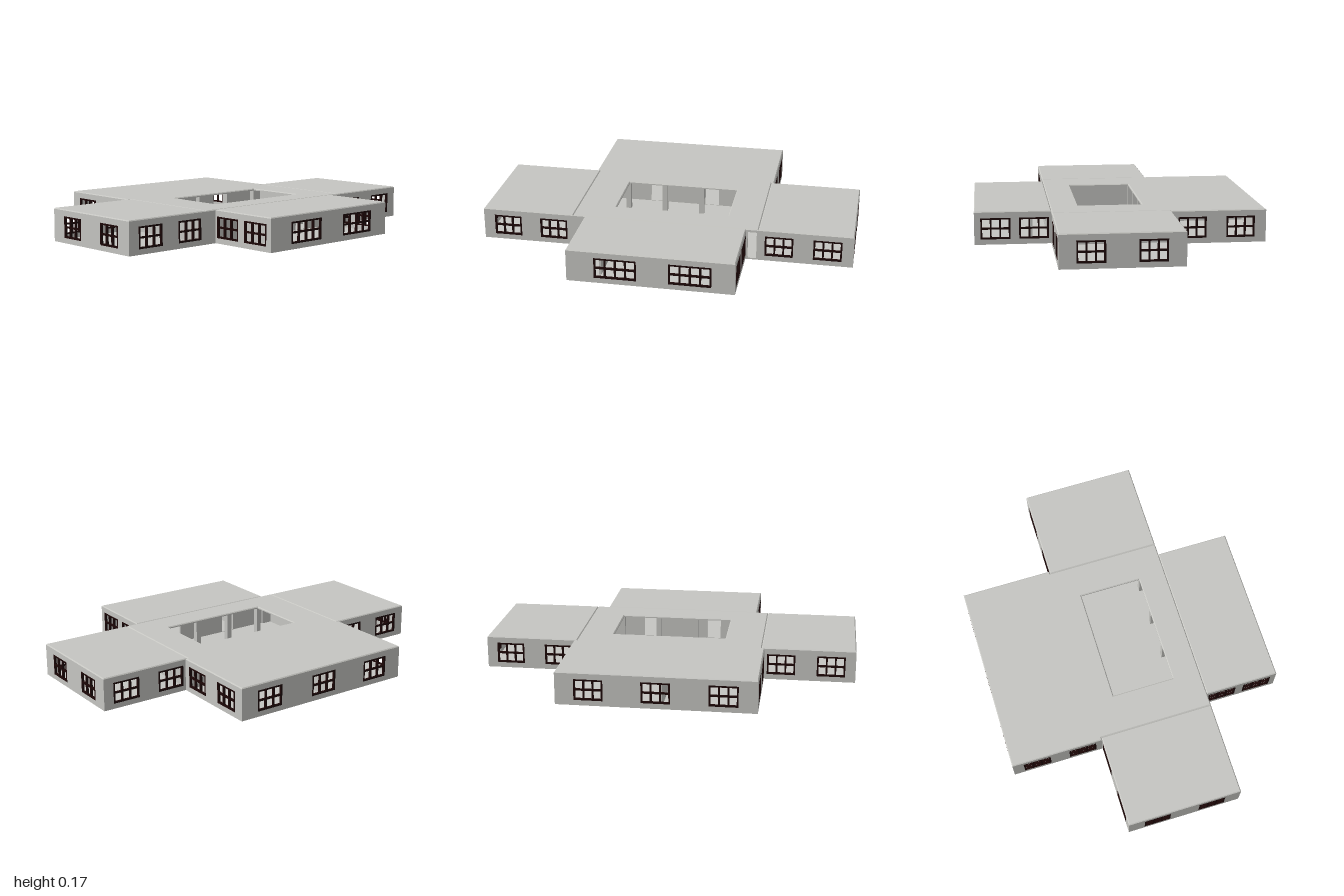
import * as THREE from 'three';

const concrete = new THREE.MeshStandardMaterial({ color: 0xc6c6c2 });
concrete.name = 'concrete';
const frameDark = new THREE.MeshStandardMaterial({ color: 0x1c0606 });
frameDark.name = 'dark window frame';

const WALL_TOP = 0.168, THICK = 0.012;
const SILL = 0.028, HEAD = 0.14;

function box(name, w, h, d, x, y, z, mat) {
  const mesh = new THREE.Mesh(new THREE.BoxGeometry(w, h, d), mat);
  mesh.position.set(x, y, z);
  mesh.name = name;
  return mesh;
}

function rectPath(x0, x1, y0, y1, Type = THREE.Path) {
  return new Type([[x0, y0], [x1, y0], [x1, y1], [x0, y1]].map(p => new THREE.Vector2(...p)));
}

// Lattice frame: outer bars plus mullions, panes left open
function windowFrame(u, width, cols) {
  const g = new THREE.Group();
  g.name = 'window';
  const bar = 0.009, h = HEAD - SILL, z = -THICK / 2 + 0.001;
  for (let i = 0; i <= cols; i++) {
    const x = u - width / 2 + bar / 2 + (width - bar) * i / cols;
    g.add(box('mullion', bar, h, THICK, x, SILL + h / 2, z, frameDark));
  }
  for (let i = 0; i <= 2; i++) {
    const y = SILL + bar / 2 + (h - bar) * i / 2;
    g.add(box('transom', width, bar, THICK - 0.001, u, y, z, frameDark));
  }
  return g;
}

// Wall between two plan points; its outer face looks to the right of the run
function wall(name, [x0, z0], [x1, z1], { at = [], width = 0.15, cols = 3, doors = [] } = {}) {
  const g = new THREE.Group();
  g.name = name;
  const length = Math.hypot(x1 - x0, z1 - z0);
  const shape = rectPath(0, length, 0, WALL_TOP, THREE.Shape);
  for (const u of at) {
    shape.holes.push(rectPath(u - width / 2 + 0.002, u + width / 2 - 0.002, SILL + 0.002, HEAD - 0.002));
    g.add(windowFrame(u, width, cols));
  }
  for (const [a, b] of doors) shape.holes.push(rectPath(a, b, 0.008, 0.158));
  const panel = new THREE.Mesh(
    new THREE.ExtrudeGeometry(shape, { depth: THICK, bevelEnabled: false }), concrete);
  panel.geometry.translate(0, 0, -THICK);
  panel.name = 'wallPanel';
  g.add(panel);
  g.position.set(x0, 0, z0);
  g.rotation.y = Math.atan2(z0 - z1, x1 - x0);
  return g;
}

// Plan outline as a shape, with z mapped so it can be laid flat
function planShape(points) {
  return new THREE.Shape(points.map(([x, z]) => new THREE.Vector2(x, -z)));
}

// Bevelled roof skin, open underneath
function roof(name, points, hole) {
  const shape = planShape(points);
  if (hole) shape.holes.push(new THREE.Path(hole.map(([x, z]) => new THREE.Vector2(x, -z))));
  const b = 0.005;
  const geo = new THREE.ExtrudeGeometry(shape, {
    depth: 0.006, bevelSize: b, bevelThickness: b, bevelOffset: -b, bevelSegments: 1
  });
  geo.rotateX(-Math.PI / 2).translate(0, 0.164, 0);
  const p = geo.attributes.position, n = geo.attributes.normal, keep = [];
  for (let i = 0; i < p.count; i += 3) {
    if (n.getY(i) > -0.3) {
      for (let k = i; k < i + 3; k++) keep.push(p.getX(k), p.getY(k), p.getZ(k));
    }
  }
  const skin = new THREE.BufferGeometry();
  skin.setAttribute('position', new THREE.Float32BufferAttribute(keep, 3));
  skin.computeVertexNormals();
  const mesh = new THREE.Mesh(skin, concrete);
  mesh.name = name;
  return mesh;
}

const rect = (x0, x1, z0, z1) => [[x0, z1], [x1, z1], [x1, z0], [x0, z0]];

export function createModel() {
  const model = new THREE.Group();
  model.name = 'building';

  // Outer walls, walked around the plan from the front left corner
  const run = [
    [[-0.435, 0.76], 'frontWall', { at: [0.255, 0.64], width: 0.22, cols: 4 }],
    [[0.435, 0.76], 'frontBlockSide', { at: [0.11, 0.31], width: 0.155 }],
    [[0.435, 0.36], 'entranceWall', { doors: [[0.01, 0.057]] }],
    [[0.5, 0.36], 'wingFront', { at: [0.11, 0.365] }],
    [[1, 0.36], 'wingEnd', { at: [0.157, 0.46], width: 0.143 }],
    [[1, -0.26], 'wingBack', { at: [0.13, 0.395] }],
    [[0.515, -0.26], 'backBlockSide', { at: [0.11, 0.365] }],
    [[0.515, -0.76], 'backWall', { at: [0.172, 0.515, 0.858] }],
    [[-0.515, -0.76], 'backBlockSide', { at: [0.135, 0.39] }],
    [[-0.515, -0.26], 'wingBack', { at: [0.09, 0.355] }],
    [[-1, -0.26], 'wingEnd', { at: [0.16, 0.463], width: 0.143 }],
    [[-1, 0.36], 'wingFront', { at: [0.135, 0.39] }],
    [[-0.5, 0.36], 'cornerWall', {}],
    [[-0.435, 0.36], 'frontBlockSide', { at: [0.09, 0.29], width: 0.155 }]
  ];
  run.forEach(([start, name, options], i) => {
    model.add(wall(name, start, run[(i + 1) % run.length][0], options));
  });

  // Floor over the whole plan
  const floor = new THREE.Mesh(
    new THREE.ExtrudeGeometry(planShape(run.map(r => r[0])), { depth: 0.006, bevelEnabled: false }),
    concrete);
  floor.geometry.rotateX(-Math.PI / 2);
  floor.scale.set(0.998, 1, 0.998);
  floor.name = 'floor';
  model.add(floor);

  // Inner partitions
  model.add(
    wall('backPartition', [-0.02, -0.33], [-0.02, -0.75]),
    wall('frontPartition', [-0.27, 0.68], [-0.27, 0.37]),
    wall('entrancePartition', [0.38, 0.47], [0.43, 0.47]),
    wall('leftWingPartition', [0.505, 0.28], [0.505, -0.255]),
    wall('rightWingPartition', [-0.505, -0.255], [-0.505, 0.345]),
    wall('courtBackWall', [-0.5, -0.262], [0.5, -0.262], { doors: [[0.3, 0.38], [0.62, 0.7]] }),
    wall('courtFrontWall', [0.425, 0.362], [-0.43, 0.362], { doors: [[0.2, 0.28], [0.57, 0.65]] })
  );

  // Roofs; the main one is open over the courtyard
  const main = [[-0.5, 0.36], [0.5, 0.36], [0.5, -0.26], [0.515, -0.26],
    [0.515, -0.76], [-0.515, -0.76], [-0.515, -0.26], [-0.5, -0.26]];
  model.add(
    roof('mainRoof', main, rect(-0.295, 0.32, -0.13, 0.21)),
    roof('frontRoof', rect(-0.435, 0.435, 0.36, 0.76)),
    roof('leftWingRoof', rect(0.5, 1, -0.26, 0.36)),
    roof('rightWingRoof', rect(-1, -0.5, -0.26, 0.36))
  );

  // Courtyard columns along the two long edges
  for (const z of [-0.145, 0.225]) {
    for (let i = 0; i < 4; i++) {
      const x = -0.305 + 0.635 * i / 3;
      model.add(box('courtColumn', 0.028, 0.162, 0.028, x, 0.087, z, concrete));
    }
  }
  return model;
}
